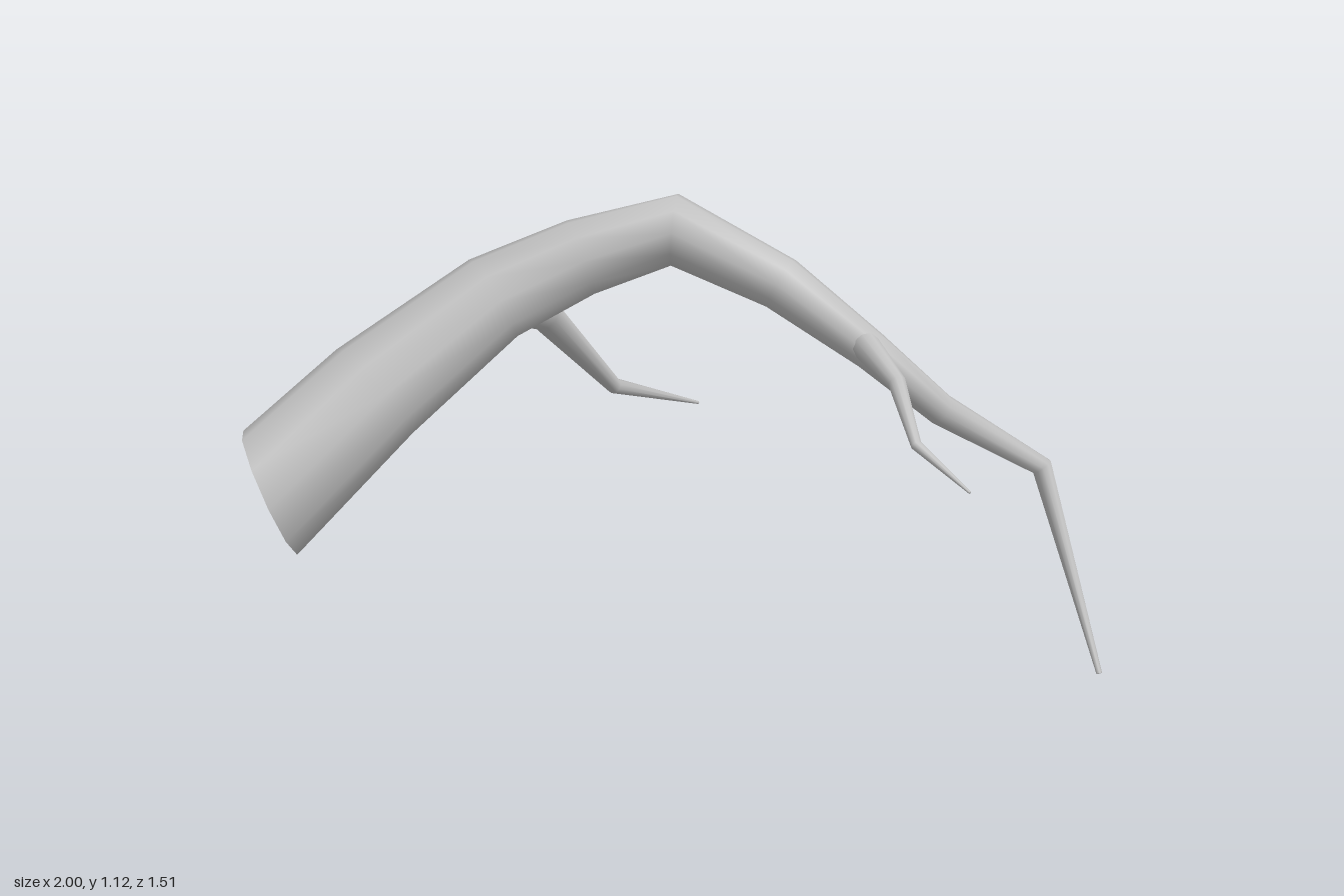
import * as THREE from 'three';

const SIDES = 10;

// Tapered limb: each stop is [x, y, z, radius]; rings sit on the bisector at each bend
function limb(name, stops, material, startNormal) {
  const points = stops.map(([x, y, z]) => new THREE.Vector3(x, y, z));
  const positions = [], indices = [];
  const last = stops.length - 1;
  const direction = (i) => points[i + 1].clone().sub(points[i]).normalize();
  let side = null;

  points.forEach((p, i) => {
    let tangent;
    if (i === 0) tangent = startNormal ? startNormal.clone().normalize() : direction(0);
    else if (i === last) tangent = direction(i - 1);
    else tangent = direction(i - 1).add(direction(i)).normalize();

    // Carry the ring orientation along the limb so it does not twist
    if (!side) side = Math.abs(tangent.z) > 0.7 ? new THREE.Vector3(1, 0, 0) : new THREE.Vector3(0, 0, 1);
    side = side.clone().addScaledVector(tangent, -side.dot(tangent)).normalize();
    const up = tangent.clone().cross(side);

    for (let j = 0; j < SIDES; j++) {
      const a = (j / SIDES) * Math.PI * 2;
      const v = p.clone()
        .addScaledVector(side, Math.cos(a) * stops[i][3])
        .addScaledVector(up, Math.sin(a) * stops[i][3]);
      positions.push(v.x, v.y, v.z);
      if (i < last) {
        const k = (j + 1) % SIDES;
        const A = i * SIDES + j, B = i * SIDES + k;
        indices.push(A, B, B + SIDES, A, B + SIDES, A + SIDES);
      }
    }
  });

  // Close the thin tip
  const tip = positions.length / 3;
  positions.push(...points[last].toArray());
  for (let j = 0; j < SIDES; j++) {
    indices.push(last * SIDES + j, last * SIDES + ((j + 1) % SIDES), tip);
  }

  const geometry = new THREE.BufferGeometry();
  geometry.setAttribute('position', new THREE.Float32BufferAttribute(positions, 3));
  geometry.setIndex(indices);
  geometry.computeVertexNormals();
  const mesh = new THREE.Mesh(geometry, material);
  mesh.name = name;
  return mesh;
}

export function createModel() {
  const group = new THREE.Group();
  group.name = 'treeBranch';
  const bark = new THREE.MeshStandardMaterial({ color: 0xc0c0c0, side: THREE.DoubleSide });
  bark.name = 'grey bark';

  // Main bough, open at its thick end
  group.add(limb('mainBough', [
    [-0.938, 0.468, 0.345, 0.156],
    [-0.695, 0.682, 0.255, 0.132],
    [-0.415, 0.88, 0.167, 0.107],
    [-0.21, 0.972, 0.16, 0.093],
    [0.01, 1.034, 0.163, 0.086],
    [0.25, 0.92, 0.255, 0.065],
    [0.45, 0.775, 0.337, 0.047],
    [0.625, 0.62, 0.285, 0.038],
    [0.885, 0.455, 0.2, 0.026],
    [0.992, 0.004, 0.413, 0.007],
  ], bark, new THREE.Vector3(0.92, 0.4, 0)));

  // Long side branch reaching backwards
  group.add(limb('backBranch', [
    [-0.4, 0.852, 0.085, 0.058],
    [-0.28, 0.766, -0.207, 0.042],
    [-0.09, 0.525, -0.452, 0.02],
    [0.153, 0.407, -0.755, 0.004],
  ], bark, new THREE.Vector3(0.2, -0.2, -1)));

  // Small twig reaching forwards
  group.add(limb('frontTwig', [
    [0.435, 0.79, 0.355, 0.034],
    [0.485, 0.737, 0.515, 0.021],
    [0.515, 0.616, 0.615, 0.013],
    [0.615, 0.538, 0.75, 0.003],
  ], bark));

  return group;
}
